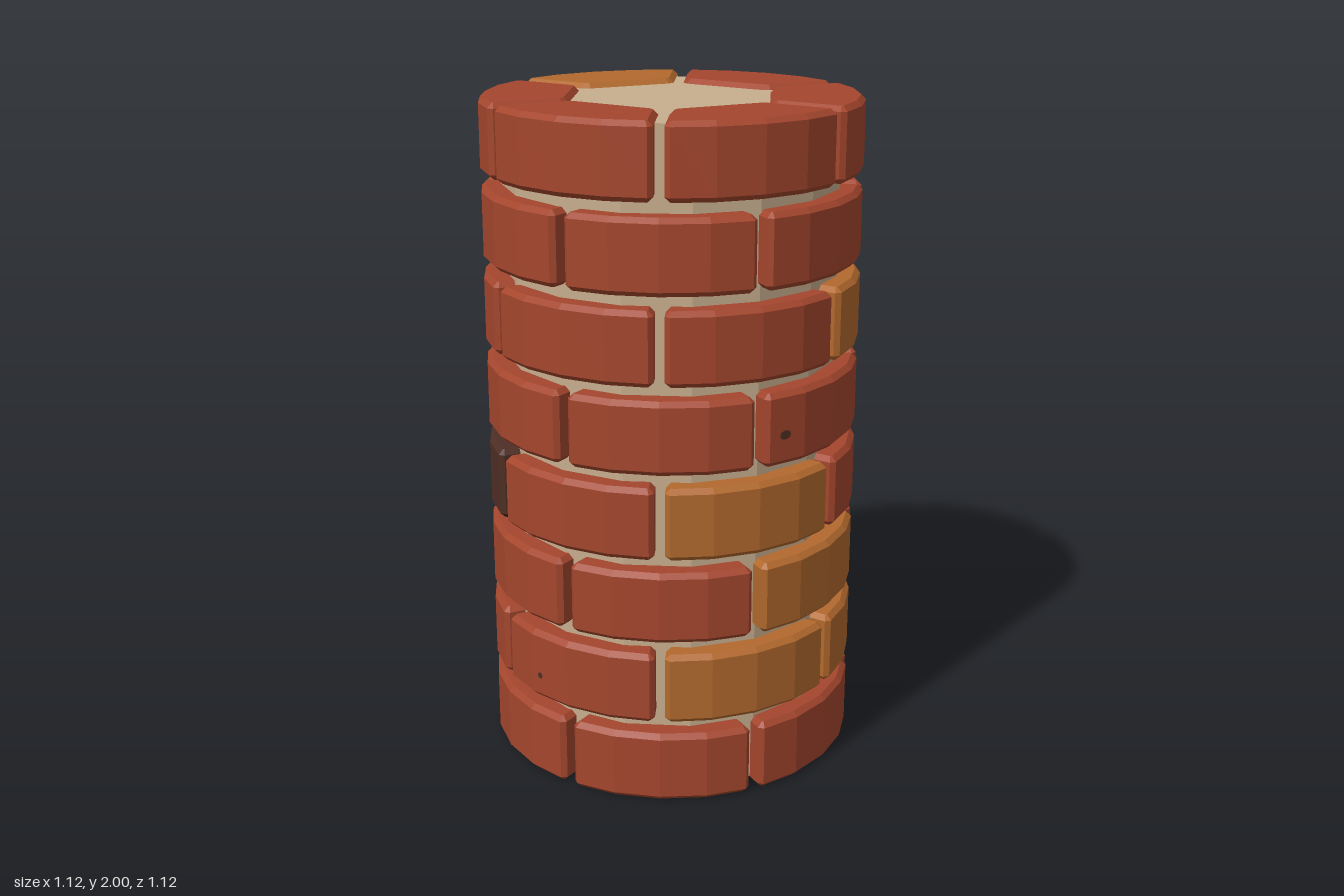
import * as THREE from 'three';

const material = (name, color) => {
  const m = new THREE.MeshStandardMaterial({ color });
  m.name = name;
  return m;
};
const rad = THREE.MathUtils.degToRad;

const ROWS = 8, PER_ROW = 6, H = 0.216, PITCH = (2 - H) / (ROWS - 1);
const R = 0.56, INNER = 0.285, GAP = 0.015, CHAMFER = 0.015;
const HALF = rad(30) - Math.asin(GAP / R); // half the angle spanned by a brick

// Wedge brick: faceted outer arc, straight inner face, all edges chamfered
function brickGeometry() {
  const pts = [];
  for (let i = 0; i <= 4; i++) {
    const a = -HALF + (i * HALF) / 2;
    pts.push(new THREE.Vector2(R * Math.cos(a), R * Math.sin(a)));
  }
  const v = INNER * Math.tan(rad(30)) - GAP / Math.cos(rad(30));
  pts.push(new THREE.Vector2(INNER, v), new THREE.Vector2(INNER, -v));
  const outline = [];
  pts.forEach((p, i) => {
    if (i > 0 && i < 4) return outline.push(p);
    for (const q of [pts[(i + 6) % 7], pts[(i + 1) % 7]]) {
      outline.push(p.clone().add(q.clone().sub(p).setLength(CHAMFER)));
    }
  });
  const g = new THREE.ExtrudeGeometry(new THREE.Shape(outline), {
    depth: H - 2 * CHAMFER, bevelEnabled: true, bevelSegments: 1,
    bevelSize: CHAMFER, bevelThickness: CHAMFER, bevelOffset: -CHAMFER,
  });
  g.translate(0, 0, CHAMFER);
  g.rotateX(-Math.PI / 2);
  return g;
}

// Centre angle of a brick, in degrees from +x towards +z; rows are staggered
const brickAngle = (row, k) => (row % 2 ? 25 : 55) + k * 60;

export function createModel() {
  const mortar = material('mortar', 0xc8ae8e);
  const red = material('redBrick', 0xa4462d);
  const amber = material('amberBrick', 0xb2692d);
  const dark = material('burntBrick', 0x4e2e25);

  const model = new THREE.Group();
  model.name = 'brickColumn';

  // Mortar core
  const core = new THREE.Mesh(new THREE.CylinderGeometry(0.5, 0.5, 1.97, 16), mortar);
  core.material.flatShading = true;
  core.name = 'mortarCore';
  core.position.y = 1;
  model.add(core);

  // Odd-coloured bricks, keyed by row and centre angle
  const special = {
    '7:205': amber, '5:325': amber, '3:25': amber, '2:235': amber,
    '2:355': amber, '1:25': amber, '1:325': amber,
    '4:235': dark, '3:145': dark, '3:205': dark, '2:175': dark, '0:235': dark,
  };
  const geometry = brickGeometry();
  for (let row = 0; row < ROWS; row++) {
    const course = new THREE.Group();
    course.name = `course${row + 1}`;
    course.position.y = row * PITCH;
    for (let k = 0; k < PER_ROW; k++) {
      const angle = brickAngle(row, k);
      const brick = new THREE.Mesh(geometry, special[`${row}:${angle}`] || red);
      brick.name = `brick${k + 1}`;
      brick.rotation.y = -rad(angle);
      course.add(brick);
    }
    model.add(course);
  }

  // Small worn patches lying on the outer facets
  const patch = (row, angle, y, rx, ry, mat) => {
    const k = Math.round((angle - brickAngle(row, 0)) / 60);
    const centre = rad(brickAngle(row, k));
    const rel = rad(angle) - centre;
    const mid = (Math.floor(rel / (HALF / 2)) + 0.5) * (HALF / 2);
    const apothem = R * Math.cos(HALF / 4) + 0.002;
    const g = new THREE.CircleGeometry(1, 8);
    g.scale(rx, ry, 1);
    g.translate(-apothem * Math.tan(rel - mid), y, apothem);
    const mesh = new THREE.Mesh(g, mat);
    mesh.name = 'wornPatch';
    mesh.rotation.y = Math.PI / 2 - (centre + mid);
    model.add(mesh);
  };
  patch(1, 96, 0.33, 0.01, 0.01, dark);
  patch(4, 16.5, 1.11, 0.02, 0.014, dark);
  patch(0, 296, 0.08, 0.025, 0.016, dark);
  patch(5, 222, 1.33, 0.03, 0.012, dark);
  patch(5, 199, 1.42, 0.025, 0.012, dark);
  patch(4, 246, 1.21, 0.025, 0.01, red);
  patch(4, 220, 1.21, 0.025, 0.01, red);
  patch(3, 187, 0.87, 0.03, 0.028, red);
  patch(3, 217, 0.81, 0.02, 0.012, red);

  return model;
}
